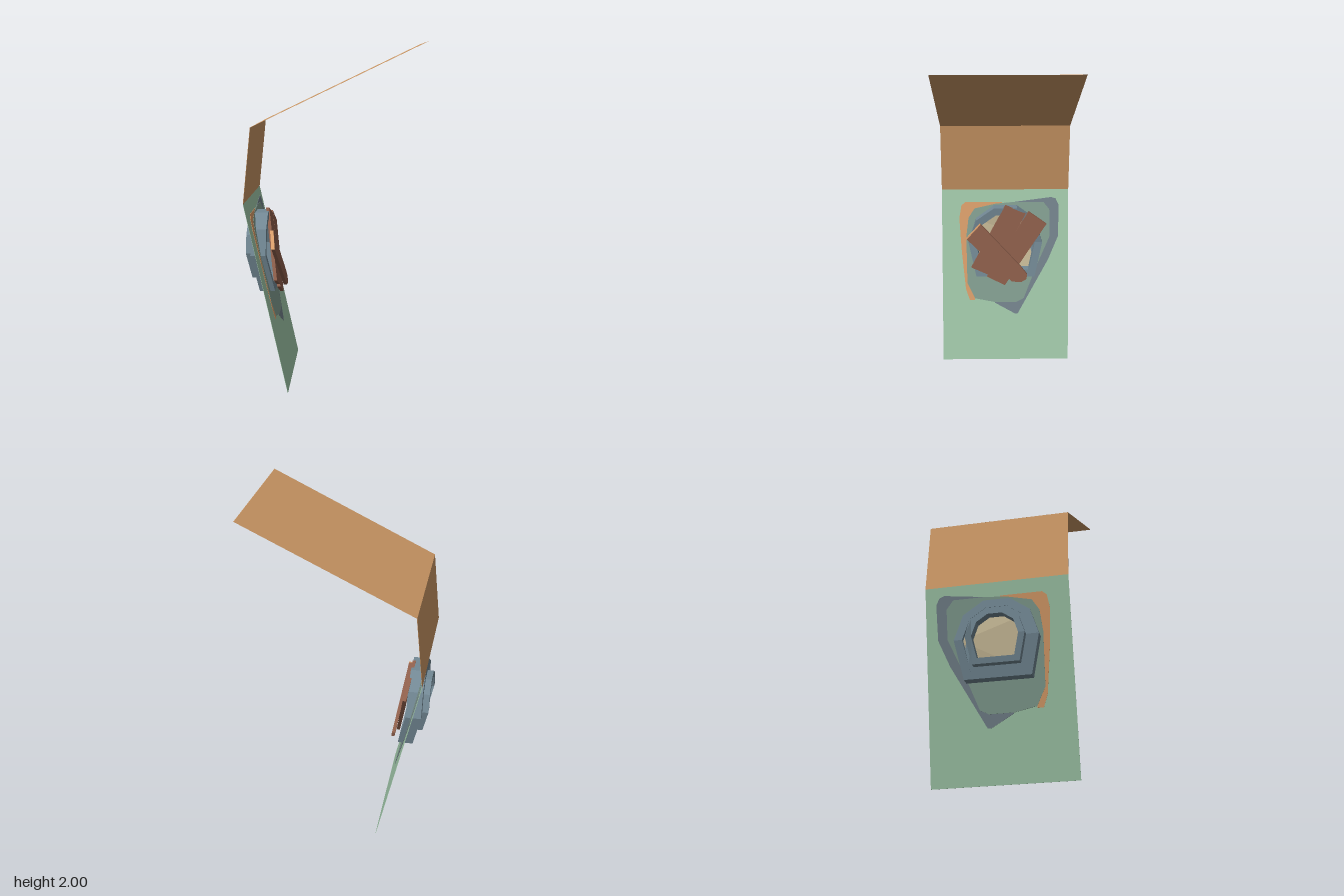
import * as THREE from 'three';

const mat = (name, color) => {
  const m = new THREE.MeshStandardMaterial({ color, side: THREE.DoubleSide });
  m.name = name;
  return m;
};

// Extrudes a [z, y] outline from x0 to x1, then leans it by xOf(y)
function slab(name, material, points, xOf, x0, x1, hole) {
  const toVec = ([z, y]) => new THREE.Vector2(-z, y);
  const shape = new THREE.Shape(points.map(toVec));
  if (hole) shape.holes.push(new THREE.Path(hole.map(toVec)));
  const geo = new THREE.ExtrudeGeometry(shape, { depth: x1 - x0, bevelEnabled: false });
  geo.rotateY(Math.PI / 2);
  const p = geo.attributes.position;
  for (let i = 0; i < p.count; i++) p.setX(i, p.getX(i) + x0 + xOf(p.getY(i)));
  geo.computeVertexNormals();
  const mesh = new THREE.Mesh(geo, material);
  mesh.name = name;
  return mesh;
}

const band = (y0, y1) => [[0.412, y0], [-0.412, y0], [-0.412, y1], [0.412, y1]];

// Window outline, scaled about its middle
const outline = (s) => [
  [0.24, 0], [0.19, 0.15], [0.075, 0.23], [-0.075, 0.23],
  [-0.19, 0.15], [-0.24, 0], [-0.19, -0.22], [0.19, -0.22],
].map(([z, y]) => [z * s, 0.77 + y * s]);

export function createModel() {
  const tan = mat('tan panel', 0xcd9966);
  const green = mat('pale green wall', 0xa2caab);
  const orange = mat('orange patch', 0xdb9f6b);
  const slate = mat('slate patch', 0x74838c);
  const sage = mat('sage patch', 0x839f91);
  const blue = mat('blue grey frame', 0x728894);
  const beige = mat('beige pane', 0xc9bb98);
  const brown = mat('brown board', 0x8e5f4b);

  const g = new THREE.Group();
  g.name = 'boardedWindowWall';

  // Folded sheet: leaning wall, upper wall and sloping roof
  const wallX = (y) => -0.505 + (1.1 - y) * 0.221;
  const hole = outline(0.95);
  g.add(
    slab('lowerWall', green, band(0, 1.1), wallX, -0.001, 0.001, hole),
    slab('upperWall', tan, band(1.1, 1.53), (y) => -0.505 + (y - 1.1) * 0.105, -0.001, 0.001),
    slab('roof', tan, band(1.53, 2), (y) => -0.46 + (y - 1.53) * 2.085, -0.001, 0.001),
  );

  // Painted patches, showing on both sides of the wall
  g.add(
    slab('orangePatch', orange, [
      [0.3, 0.92], [0.285, 1.0], [0.26, 1.02], [0.02, 1.02], [0.02, 1.005], [0.2, 0.96], [0.23, 0.9],
      [0.245, 0.7], [0.22, 0.5], [0.2, 0.42], [0.2, 0.39], [0.235, 0.39], [0.26, 0.46], [0.285, 0.7],
    ], wallX, -0.003, 0.003),
    slab('slatePatch', slate, [
      [-0.06, 1.02], [-0.3, 1.05], [-0.33, 1.04], [-0.35, 1.0], [-0.345, 0.8], [-0.28, 0.65],
      [-0.08, 0.3], [-0.06, 0.3], [0.07, 0.37], [0.07, 0.4], [-0.1, 0.4], [-0.18, 0.55],
      [-0.26, 0.75], [-0.28, 0.95], [-0.2, 1.0],
    ], wallX, -0.003, 0.003),
    slab('sagePatch', sage, [
      [0.255, 0.8], [0.24, 0.92], [0.2, 0.98], [0.06, 1.01], [-0.06, 1.02], [-0.25, 1.02],
      [-0.29, 0.97], [-0.29, 0.8], [-0.2, 0.6], [-0.12, 0.4], [-0.07, 0.375], [0.07, 0.375],
      [0.2, 0.4], [0.25, 0.5],
    ], wallX, -0.0045, 0.0045, hole),
  );

  // Stepped window frame, bent inward below its middle
  const bend = (y) => Math.max(0, 0.77 - y) * 0.22;
  g.add(
    slab('frameBody', blue, outline(1), bend, -0.49, -0.4, outline(0.8)),
    slab('frameRim', blue, outline(0.7), bend, -0.525, -0.475, outline(0.55)),
    slab('frameStep', blue, outline(0.95), bend, -0.488, -0.475, outline(0.55)),
    slab('windowPane', beige, outline(0.85), bend, -0.473, -0.467),
  );

  // Boards nailed across the inside
  const boardX = (y) => -0.41 + (1.02 - y) * 0.16;
  g.add(
    slab('middleBoard', brown, [[0, 1.02], [-0.13, 0.965], [0.095, 0.565], [0.222, 0.62]], boardX, -0.01, 0.01),
    slab('rightBoard', brown, [[-0.15, 0.98], [-0.265, 0.9], [0.005, 0.503], [0.12, 0.56]], boardX, -0.01, 0.01),
    slab('crossBoard', brown, [
      [0.25, 0.81], [0.16, 0.905], [-0.1, 0.63], [-0.14, 0.58], [-0.135, 0.55], [-0.1, 0.53], [-0.04, 0.535],
    ], boardX, 0.012, 0.032),
    slab('crossBoardEnd', orange, [[0.25, 0.81], [0.16, 0.905], [0.164, 0.909], [0.254, 0.814]], boardX, 0.012, 0.032),
  );
  return g;
}
